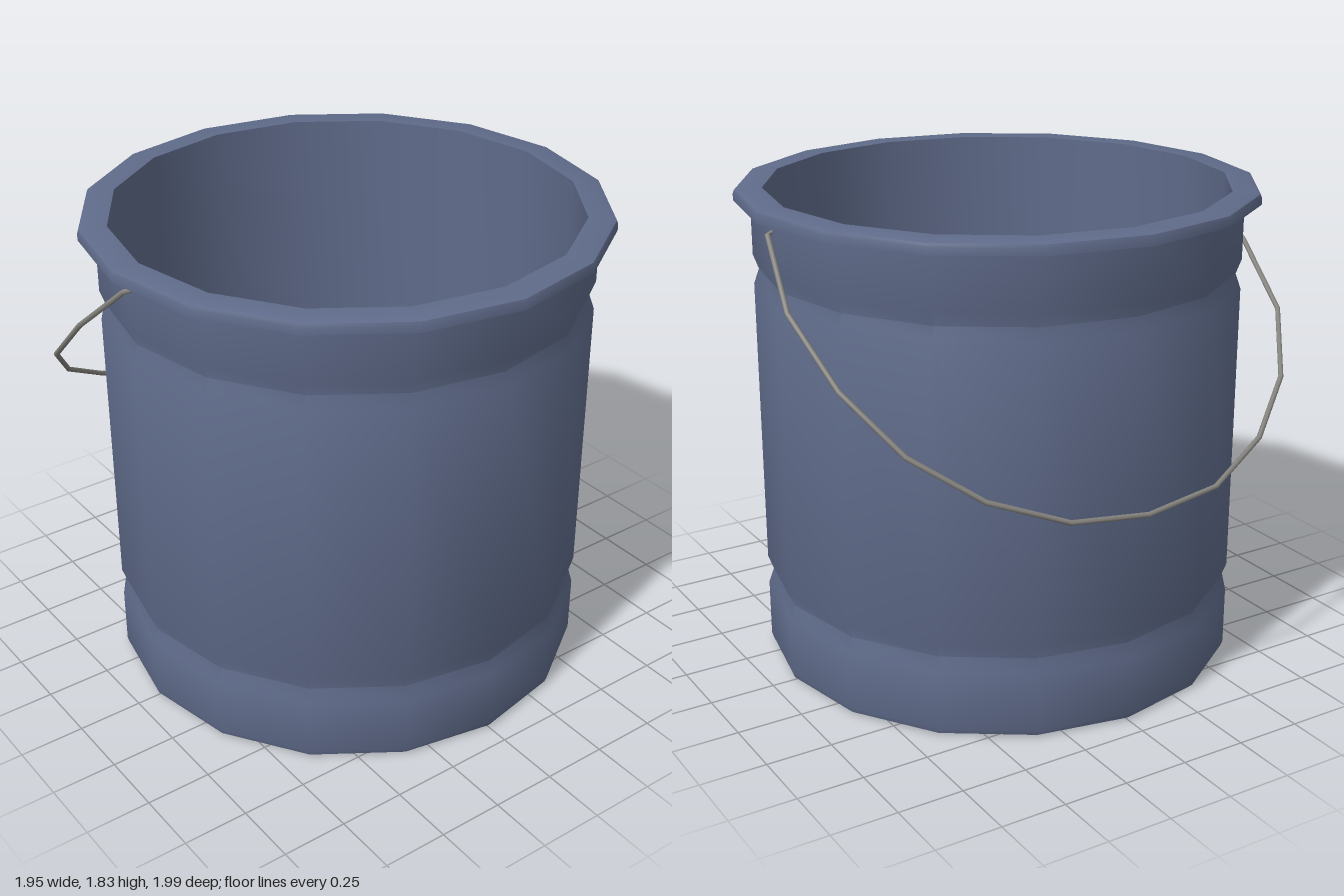
import * as THREE from 'three';
import { toCreasedNormals } from 'three/addons/utils/BufferGeometryUtils.js';

const SIDES = 16;

// Straight-segment path whose samples land exactly on its corners
class BentWire extends THREE.Curve {
  constructor(points) {
    super();
    this.points = points;
  }
  getPoint(t, target = new THREE.Vector3()) {
    const last = this.points.length - 1;
    const i = Math.min(Math.floor(t * last), last - 1);
    return target.lerpVectors(this.points[i], this.points[i + 1], t * last - i);
  }
  getUtoTmapping(u) {
    return u;
  }
}

function lathe(name, profile, material) {
  const points = profile.map(([r, y]) => new THREE.Vector2(r, y));
  const geometry = toCreasedNormals(new THREE.LatheGeometry(points, SIDES), 0.75);
  const mesh = new THREE.Mesh(geometry, material);
  mesh.name = name;
  return mesh;
}

export function createModel() {
  const model = new THREE.Group();
  model.name = 'bucket';
  const paint = new THREE.MeshStandardMaterial({ color: 0x5f6b8a });
  const steel = new THREE.MeshStandardMaterial({ color: 0x85837e });

  // Outer wall: closed bottom, rounded foot and two pressed-in grooves
  const R = 0.915;
  const groove = (y) => [[R, y - 0.055], [R - 0.02, y], [R, y + 0.055]];
  model.add(lathe('outerWall', [
    [0, 0], [0.89, 0], [0.908, 0.009], [R, 0.03],
    ...groove(0.31), ...groove(1.53),
    [R, 1.81],
  ], paint));

  // Overhanging lip, hollow underneath
  model.add(lathe('rim', [
    [R, 1.81], [0.955, 1.81], [0.955, 1.79], [0.976, 1.79],
    [0.976, 1.815], [0.971, 1.828], [0.958, 1.833], [0.87, 1.833],
  ], paint));

  // Smooth inside wall and floor
  model.add(lathe('innerWall', [[0.87, 1.833], [0.87, 0.04], [0, 0.04]], paint));

  // Wire handle hanging to one side: [x, y, z], from back pivot to front pivot
  const half = [[0.015, 1.75, 0.9], [0, 1.743, 0.935], [-0.25, 1.53, 0.985], [-0.49, 1.31, 0.945],
    [-0.69, 1.115, 0.805], [-0.84, 0.96, 0.585], [-0.94, 0.86, 0.31]];
  const sag = [0, 0, 0, 0.025, 0.025, 0.025, 0.025];
  const back = half.map(([x, y, z], i) => new THREE.Vector3(x, y, sag[i] - z));
  const front = half.map(([x, y, z], i) => new THREE.Vector3(x, y, sag[i] + z)).reverse();
  const path = [...back, new THREE.Vector3(-0.968, 0.832, 0.02), ...front];
  const handle = new THREE.Mesh(
    new THREE.TubeGeometry(new BentWire(path), path.length - 1, 0.01, 8), steel);
  handle.name = 'handle';
  model.add(handle);

  return model;
}
